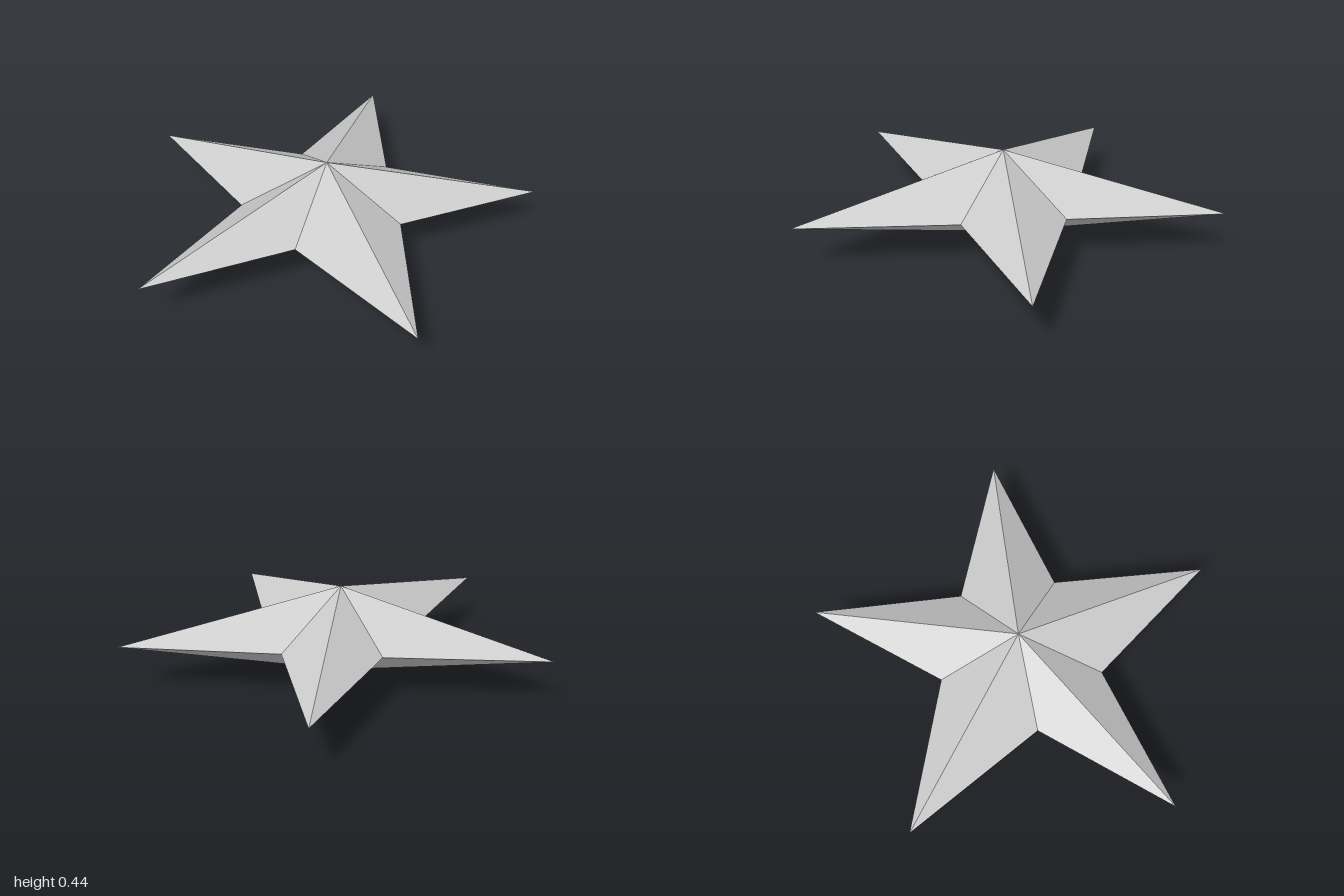
import * as THREE from 'three';

// Star outline seen from above as [x, z], tips and notches alternating
const OUTLINE = [
  [0, 0.98], [0.22, 0.26], [1, 0.21], [0.39, -0.26], [0.62, -0.98],
  [-0.015, -0.535], [-0.62, -0.98], [-0.39, -0.26], [-1, 0.21], [-0.22, 0.26],
];
const CENTRE_Z = -0.11;
const RIM_Y = 0.22;

// Fan of flat facets from the outline to an apex above or below it
function starHalf(name, apexY, material) {
  const positions = [];
  OUTLINE.forEach((a, i) => {
    const b = OUTLINE[(i + 1) % OUTLINE.length];
    const [p, q] = apexY > RIM_Y ? [a, b] : [b, a];
    positions.push(0, apexY, CENTRE_Z, p[0], RIM_Y, p[1], q[0], RIM_Y, q[1]);
  });
  const geometry = new THREE.BufferGeometry();
  geometry.setAttribute('position', new THREE.Float32BufferAttribute(positions, 3));
  geometry.computeVertexNormals();
  const mesh = new THREE.Mesh(geometry, material);
  mesh.name = name;
  return mesh;
}

export function createModel() {
  const group = new THREE.Group();
  group.name = 'facetedStar';
  const material = new THREE.MeshStandardMaterial({ color: 0xcccccc, flatShading: true });
  group.add(starHalf('upperFacets', 0.44, material));
  group.add(starHalf('lowerFacets', 0, material));
  return group;
}
